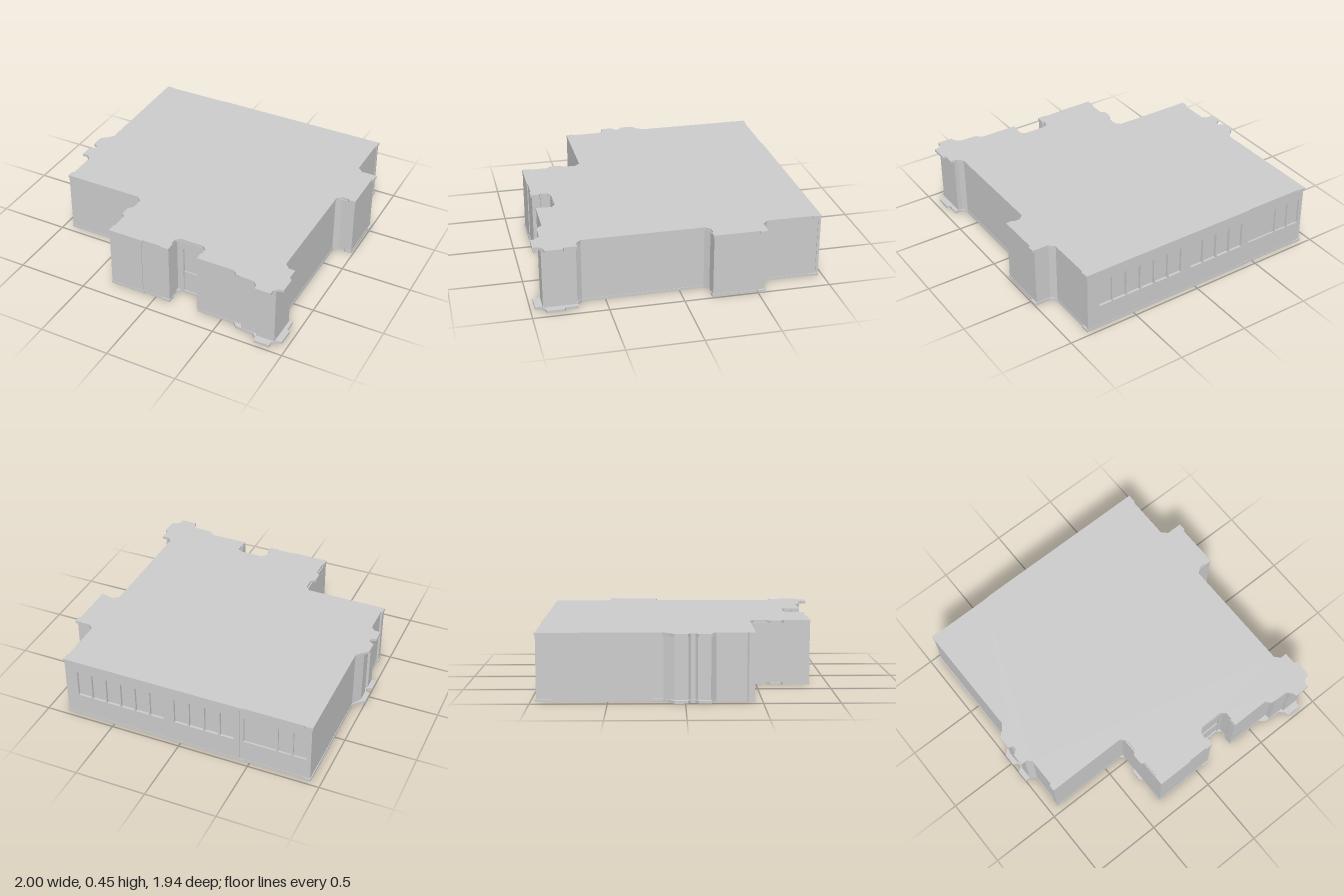
import * as THREE from 'three';

export function createModel() {
  const model = new THREE.Group();
  const grey = new THREE.MeshStandardMaterial({ color: 0xcccccc });
  grey.name = 'plasterGrey';

  const HEIGHT = 0.45, SLAB = 0.018;

  function add(name, geometry) {
    const mesh = new THREE.Mesh(geometry, grey);
    mesh.name = name;
    model.add(mesh);
    return mesh;
  }

  // Extrude a floor plan of [x, z] points upward from y0 to y1
  function plan(name, points, y0, y1) {
    const shape = new THREE.Shape(points.map(([x, z]) => new THREE.Vector2(x, -z)));
    const geometry = new THREE.ExtrudeGeometry(shape, { depth: y1 - y0, bevelEnabled: false });
    geometry.rotateX(-Math.PI / 2).translate(0, y0, 0);
    return add(name, geometry);
  }

  // Upright plate between z0 and z1 with rectangular openings [x0, x1, y0, y1]
  function plate(name, [x0, x1, y0, y1], z0, z1, openings) {
    const rect = (Type, a, b, c, d) => new Type([
      new THREE.Vector2(a, c), new THREE.Vector2(b, c),
      new THREE.Vector2(b, d), new THREE.Vector2(a, d)]);
    const shape = rect(THREE.Shape, x0, x1, y0, y1);
    shape.holes = openings.map(o => rect(THREE.Path, ...o));
    const geometry = new THREE.ExtrudeGeometry(shape, { depth: z1 - z0, bevelEnabled: false });
    return add(name, geometry.translate(0, 0, z0));
  }

  // Floor and roof share one outline with overhanging, notched edges
  const slabOutline = [
    [-0.93, -0.97], [-0.88, -0.97], [-0.87, -0.965], [-0.47, -0.965], [-0.43, -0.97],
    [0.86, -0.97], [0.86, -0.91], [0.852, -0.91], [0.852, -0.59], [0.89, -0.555],
    [1, -0.555], [1, -0.5], [0.988, -0.5], [0.988, -0.19], [0.94, -0.19],
    [0.93, -0.2], [0.89, -0.2], [0.856, -0.17], [0.856, 0.655], [0.89, 0.69],
    [0.936, 0.69], [0.936, 0.775], [0.956, 0.785], [0.956, 0.9], [0.92, 0.91],
    [0.895, 0.935], [0.895, 0.97], [0.785, 0.97], [0.78, 0.94], [0.75, 0.908],
    [0.66, 0.905], [0.62, 0.9], [0.59, 0.867], [0.318, 0.867], [0.318, 0.815],
    [0.325, 0.805], [0.325, 0.76], [0.295, 0.735], [0.13, 0.735], [0.1, 0.76],
    [0.095, 0.805], [0.108, 0.815], [0.108, 0.873], [0.05, 0.873], [0.05, 0.866],
    [-0.09, 0.866], [-0.09, 0.873], [-0.345, 0.873], [-0.345, 0.81], [-0.335, 0.81],
    [-0.335, 0.69], [-0.362, 0.67], [-0.362, 0.6], [-0.333, 0.57], [-0.333, 0.485],
    [-0.365, 0.452], [-0.94, 0.452], [-0.94, 0.41], [-0.927, 0.4], [-0.927, 0.2],
    [-0.955, 0.17], [-1, 0.17], [-1, 0.085], [-0.965, 0.065], [-0.965, 0.035],
    [-1, 0.015], [-1, -0.07], [-0.96, -0.105], [-0.927, -0.145],
  ];
  plan('floorSlab', slabOutline, 0, SLAB);
  plan('roofSlab', slabOutline, HEIGHT - SLAB, HEIGHT);

  // Main wall body, set in under the slab edges
  plan('walls', [
    [-0.924, -0.95], [0.849, -0.95], [0.849, -0.59], [0.88, -0.55], [0.985, -0.55],
    [0.985, -0.195], [0.89, -0.195], [0.853, -0.165], [0.853, 0.655], [0.88, 0.695],
    [0.91, 0.695], [0.91, 0.92], [0.78, 0.92], [0.78, 0.902], [0.66, 0.902],
    [0.66, 0.864], [0.315, 0.864], [0.315, 0.81], [0.328, 0.8], [0.328, 0.72],
    [0.098, 0.72], [0.098, 0.8], [0.105, 0.81], [0.105, 0.864], [-0.1, 0.864],
    [-0.1, 0.87], [-0.342, 0.87], [-0.342, 0.45], [-0.935, 0.45], [-0.935, 0.41],
    [-0.924, 0.4], [-0.924, 0.2], [-0.965, 0.165], [-0.965, 0.08], [-0.945, 0.065],
    [-0.945, 0.035], [-0.965, 0.02], [-0.965, -0.07], [-0.924, -0.14],
  ], SLAB, HEIGHT - SLAB);

  // Back wall facing with rows of recessed window panes
  const SILL = 0.17, HEAD = 0.365, BAR = 0.012;
  function panes(edges) {
    return edges.slice(1).map((x, i) => [edges[i] + BAR / 2, x - BAR / 2, SILL, HEAD]);
  }
  function even(x0, x1, count) {
    return Array.from({ length: count + 1 }, (_, i) => x0 + (x1 - x0) * i / count);
  }
  const wallY = [SLAB, HEIGHT - SLAB];
  plate('backWallFacing', [-0.43, 0.853, ...wallY], -0.968, -0.95,
    [...panes(even(0.116, 0.77, 6)), ...panes(even(-0.395, 0.048, 4))]);
  plate('backCornerFacing', [-0.924, -0.43, ...wallY], -0.963, -0.95,
    panes([-0.9, -0.795, -0.69, -0.45]));

  // Entrance at the back of the front recess, with a raised lower door panel
  plate('doorSurround', [0.1, 0.326, ...wallY], 0.72, 0.737, [[0.145, 0.3, SLAB, 0.372]]);
  plate('doorLowerPanel', [0.145, 0.3, SLAB, 0.178], 0.72, 0.728, []);

  return model;
}
